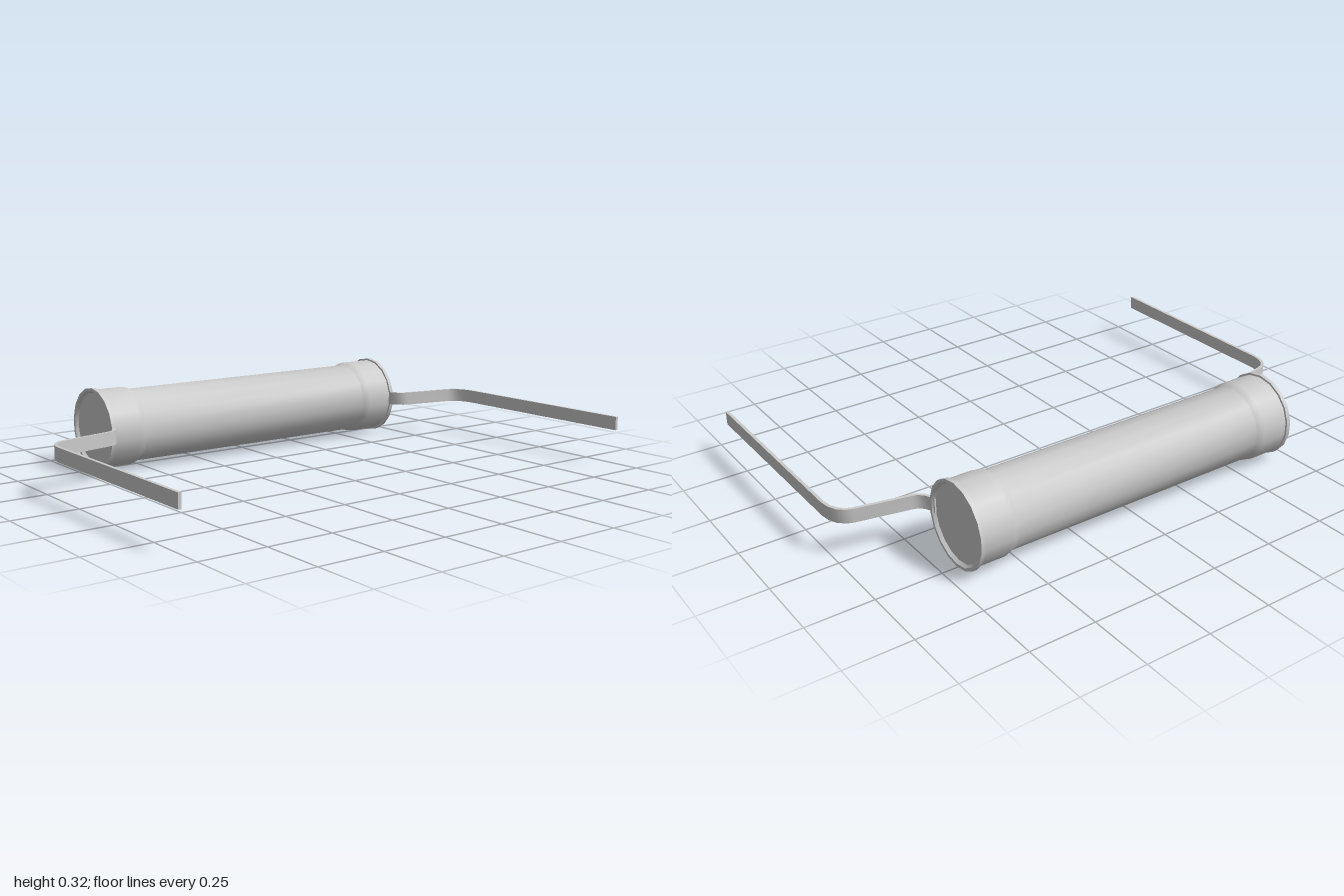
import * as THREE from 'three';
import { toCreasedNormals } from 'three/addons/utils/BufferGeometryUtils.js';

const AXIS_X = -0.4925, AXIS_Y = 0.16;

// Flat strip following a path of [x, z] points, extruded along y
function stripGeometry(path, thickness, y0, y1) {
  const pts = path.map(([x, z]) => new THREE.Vector2(x, z));
  const sides = [[], []];
  pts.forEach((p, i) => {
    const a = pts[Math.max(i - 1, 0)], b = pts[Math.min(i + 1, pts.length - 1)];
    const d = b.clone().sub(a).normalize();
    const n = new THREE.Vector2(-d.y, d.x).multiplyScalar(thickness / 2);
    sides[0].push(p.clone().add(n));
    sides[1].unshift(p.clone().sub(n));
  });
  const geo = new THREE.ExtrudeGeometry(new THREE.Shape([...sides[0], ...sides[1]]),
    { depth: y1 - y0, bevelEnabled: false });
  geo.rotateX(Math.PI / 2); // shape y becomes z, depth runs down
  geo.translate(0, y1, 0);
  return toCreasedNormals(geo, 0.75);
}

export function createModel() {
  const model = new THREE.Group();
  model.name = 'cartridgeWithLeads';
  const material = new THREE.MeshStandardMaterial({ color: 0xcccccc });

  // Half profile of the cartridge: [radius, distance along the axis]
  const half = [
    [0.1425, 0.53], [0.146, 0.537], [0.152, 0.556], [0.153, 0.565], // flare into end cap
    [0.153, 0.673], [0.16, 0.674], [0.16, 0.69],                    // end rim
    [0.149, 0.69], [0.141, 0.678], [0, 0.678],                      // recessed end face
  ];
  const profile = [
    ...half.map(([r, z]) => new THREE.Vector2(r, -z)).reverse(),
    ...half.map(([r, z]) => new THREE.Vector2(r, z)),
  ];
  const bodyGeo = new THREE.LatheGeometry(profile, 18);
  bodyGeo.rotateX(Math.PI / 2);
  const body = new THREE.Mesh(toCreasedNormals(bodyGeo, 0.6), material);
  body.name = 'cartridgeBody';
  body.position.set(AXIS_X, AXIS_Y, 0);
  model.add(body);

  // Bent flat leads, one at each end
  const path = [
    [-0.355, 0.678], [-0.335, 0.68], [-0.308, 0.694], [-0.291, 0.714], [-0.285, 0.735],
    [-0.245, 0.93], [-0.236, 0.953], [-0.215, 0.975], [-0.185, 0.989], [-0.15, 0.994], [0.65, 0.994],
  ];
  for (const [name, s] of [['frontLead', 1], ['backLead', -1]]) {
    const geo = stripGeometry(path.map(([x, z]) => [x, z * s]), 0.012, 0.135, 0.188);
    const lead = new THREE.Mesh(geo, material);
    lead.name = name;
    model.add(lead);
  }
  return model;
}
